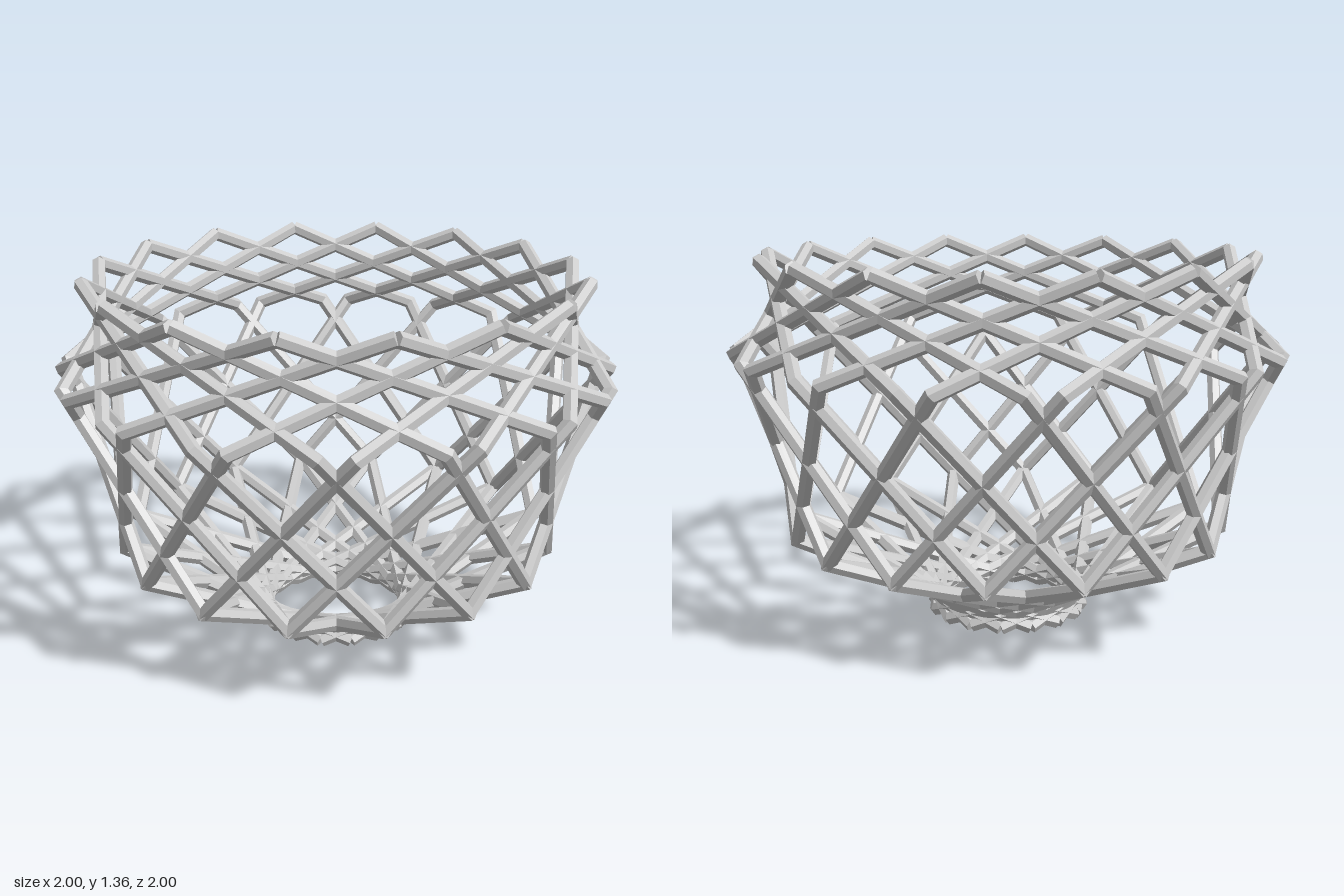
import * as THREE from 'three';

const COUNT = 16, SIDES = 6, RADIUS = 0.026;
const deg = THREE.MathUtils.degToRad;

// Bends of one spiralling rod: angle around the bowl, distance from the axis, height
const BENDS = [
  [-90, 0.28, 0.028],
  [0, 0.79, 0.345],
  [37, 0.98, 1.01],
  [90, 0.885, 1.345],
];

// Sweeps a hexagon along a bent path, mitring each corner on its bisecting plane
function rodGeometry(path) {
  const dirs = path.slice(1).map((p, i) => p.clone().sub(path[i]).normalize());
  const u = new THREE.Vector3(0, 1, 0).cross(dirs[0]).normalize();
  const v = dirs[0].clone().cross(u);
  let ring = [];
  for (let k = 0; k < SIDES; k++) {
    const a = (k / SIDES) * Math.PI * 2;
    ring.push(path[0].clone().addScaledVector(u, RADIUS * Math.cos(a)).addScaledVector(v, RADIUS * Math.sin(a)));
  }
  const rings = [ring];
  dirs.forEach((d, i) => {
    const end = path[i + 1];
    const normal = d.clone().add(dirs[i + 1] ?? d).normalize();
    ring = ring.map((p) => p.clone().addScaledVector(d, end.clone().sub(p).dot(normal) / d.dot(normal)));
    rings.push(ring);
  });

  const pts = rings.flat().concat([path[0], path[path.length - 1]]);
  const capA = pts.length - 2, capB = pts.length - 1, last = (rings.length - 1) * SIDES;
  const index = [];
  for (let k = 0; k < SIDES; k++) {
    const n = (k + 1) % SIDES;
    for (let r = 0; r < last; r += SIDES) {
      index.push(r + k, r + n, r + SIDES + n, r + k, r + SIDES + n, r + SIDES + k);
    }
    index.push(capA, n, k, capB, last + k, last + n);
  }
  const geo = new THREE.BufferGeometry().setFromPoints(pts);
  geo.setIndex(index);
  const flat = geo.toNonIndexed();
  flat.computeVertexNormals();
  return flat;
}

export function createModel() {
  const model = new THREE.Group();
  model.name = 'latticeBowl';
  const material = new THREE.MeshStandardMaterial({ color: 0xcccccc, flatShading: true });

  // Two families of rods, winding in opposite directions
  for (const [name, turn] of [['leftWindingRods', 1], ['rightWindingRods', -1]]) {
    const family = new THREE.Group();
    family.name = name;
    const path = BENDS.map(([a, r, y]) =>
      new THREE.Vector3(r * Math.sin(deg(a * turn)), y, r * Math.cos(deg(a * turn))));
    const geometry = rodGeometry(path);
    for (let i = 0; i < COUNT; i++) {
      const rod = new THREE.Mesh(geometry, material);
      rod.name = 'rod';
      rod.rotation.y = (i / COUNT) * Math.PI * 2;
      family.add(rod);
    }
    model.add(family);
  }
  return model;
}
